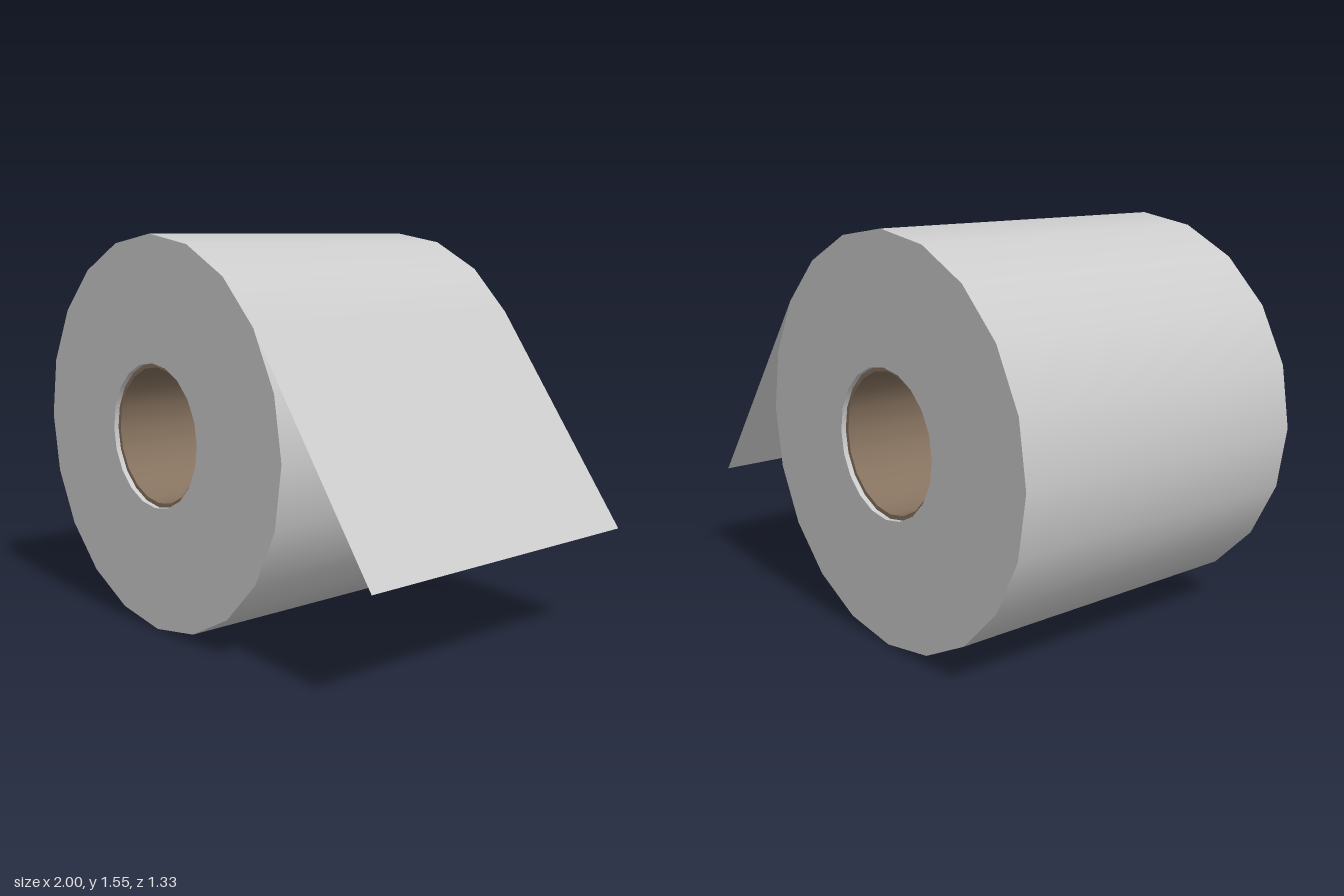
import * as THREE from 'three';
import { mergeGeometries } from 'three/addons/utils/BufferGeometryUtils.js';

const SIDES = 20;
const CENTER = new THREE.Vector2(-0.223, 0.777);
const RADIUS = 0.777, HOLE = 0.285, CORE_INNER = 0.268;
const HALF = 0.665, CORE_HALF = 0.645;

// Hollow cylinder along z: smooth around, sharp at the rims
function hollowCylinder(outer, inner, half) {
  const loop = [[outer, -half], [outer, half], [inner, half], [inner, -half]]
    .map(([r, y]) => new THREE.Vector2(r, y));
  const bands = loop.map((p, i) => new THREE.LatheGeometry([p, loop[(i + 1) % loop.length]], SIDES));
  return mergeGeometries(bands).rotateX(Math.PI / 2);
}

export function createModel() {
  const group = new THREE.Group();
  const paper = new THREE.MeshStandardMaterial({ color: 0xcccccc });
  const sheet = new THREE.MeshStandardMaterial({ color: 0xcccccc, side: THREE.DoubleSide });
  const cardboard = new THREE.MeshStandardMaterial({ color: 0x86725f });

  // Wound paper
  const roll = new THREE.Mesh(hollowCylinder(RADIUS, HOLE, HALF), paper);
  roll.name = 'paperRoll';
  roll.position.set(CENTER.x, CENTER.y, 0);

  // Cardboard tube, slightly recessed in the hole
  const core = new THREE.Mesh(hollowCylinder(HOLE, CORE_INNER, CORE_HALF), cardboard);
  core.name = 'cardboardCore';
  core.position.copy(roll.position);

  // Loose sheet, leaving the roll at one of its corners
  const angle = Math.PI / 5;
  const start = new THREE.Vector2(Math.cos(angle), Math.sin(angle)).multiplyScalar(RADIUS).add(CENTER);
  const end = new THREE.Vector2(1, 0.42);
  const run = end.clone().sub(start);
  const flap = new THREE.Mesh(
    new THREE.PlaneGeometry(run.length(), 2 * HALF).rotateX(-Math.PI / 2), sheet);
  flap.name = 'looseSheet';
  flap.position.set((start.x + end.x) / 2, (start.y + end.y) / 2, 0);
  flap.rotation.z = run.angle();

  group.add(roll, core, flap);
  return group;
}
